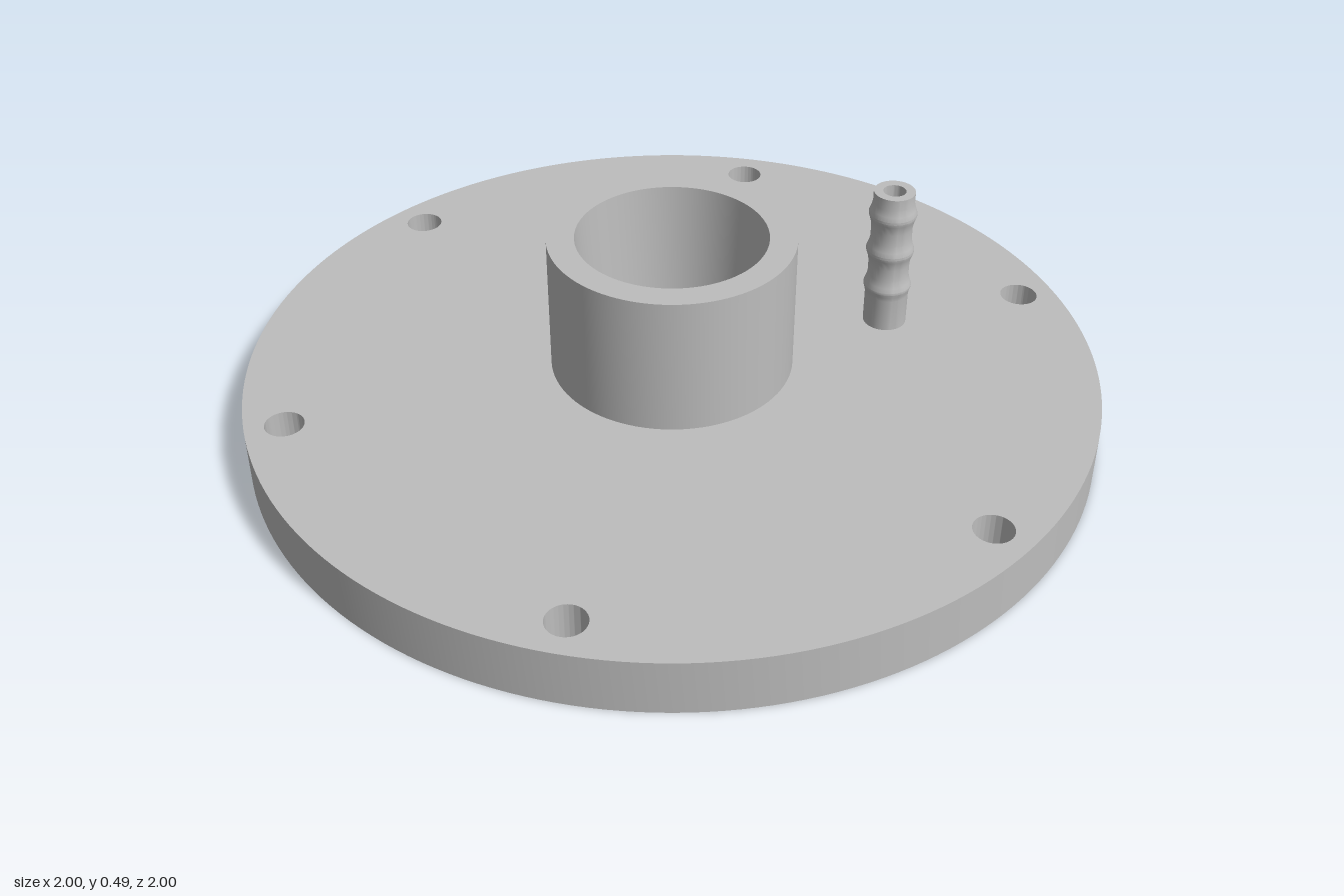
import * as THREE from 'three';
import { toCreasedNormals } from 'three/addons/utils/BufferGeometryUtils.js';

const PLATE_H = 0.133, COLLAR_TOP = 0.467, BARB_TOP = 0.492;
const BORE_LOW = 0.193, BORE_HIGH = 0.222;
const BARB_X = 0.545, BARB_BORE = 0.027;

// Radius of the tapered centre bore at a given height
const boreRadius = y => BORE_LOW + (BORE_HIGH - BORE_LOW) * y / COLLAR_TOP;

function circleHole(x, y, r) {
  return new THREE.Path().absarc(x, y, r, 0, Math.PI * 2, true);
}

function turned(points, segments) {
  const profile = points.map(([r, y]) => new THREE.Vector2(r, y));
  return toCreasedNormals(new THREE.LatheGeometry(profile, segments), 0.35);
}

function plateGeometry() {
  const disc = new THREE.Shape().absarc(0, 0, 1, 0, Math.PI * 2, false);
  disc.holes.push(circleHole(0, 0, BORE_LOW), circleHole(BARB_X, 0, BARB_BORE));
  // Ring of six bolt holes
  for (let i = 0; i < 6; i++) {
    const a = i * Math.PI / 3;
    disc.holes.push(circleHole(0.91 * Math.cos(a), 0.91 * Math.sin(a), 0.045));
  }
  const geo = new THREE.ExtrudeGeometry(disc, { depth: PLATE_H, bevelEnabled: false, curveSegments: 96 });
  geo.rotateX(-Math.PI / 2);
  // Widen the top of the centre bore to follow its taper
  const p = geo.attributes.position;
  for (let i = 0; i < p.count; i++) {
    const x = p.getX(i), z = p.getZ(i);
    if (Math.hypot(x, z) < BORE_LOW + 0.005) {
      const k = boreRadius(p.getY(i)) / BORE_LOW;
      p.setX(i, x * k);
      p.setZ(i, z * k);
    }
  }
  return toCreasedNormals(geo, 0.35);
}

function barbGeometry() {
  const points = [[0.052, PLATE_H], [0.052, 0.215]];
  // Three rounded ridges, each with a narrow neck above
  for (const y of [0.238, 0.336, 0.434]) {
    points.push([0.054, y - 0.012], [0.057, y - 0.003], [0.057, y + 0.003],
      [0.053, y + 0.014], [0.049, y + 0.03]);
    if (y < 0.4) points.push([0.049, y + 0.062], [0.051, y + 0.076]);
  }
  points.push([0.049, BARB_TOP], [BARB_BORE, BARB_TOP], [BARB_BORE, PLATE_H]);
  return turned(points, 40);
}

export function createModel() {
  const group = new THREE.Group();
  const metal = new THREE.MeshStandardMaterial({ color: 0xbdbdbd });
  metal.name = 'grey metal';

  const add = (name, geometry) => {
    const mesh = new THREE.Mesh(geometry, metal);
    mesh.name = name;
    group.add(mesh);
    return mesh;
  };

  add('flangePlate', plateGeometry());
  // Central collar with tapered bore
  add('collar', turned([
    [0.286, PLATE_H], [0.286, COLLAR_TOP],
    [BORE_HIGH, COLLAR_TOP], [boreRadius(PLATE_H), PLATE_H],
  ], 96));
  // Hose connector
  add('hoseBarb', barbGeometry()).position.x = BARB_X;

  return group;
}
